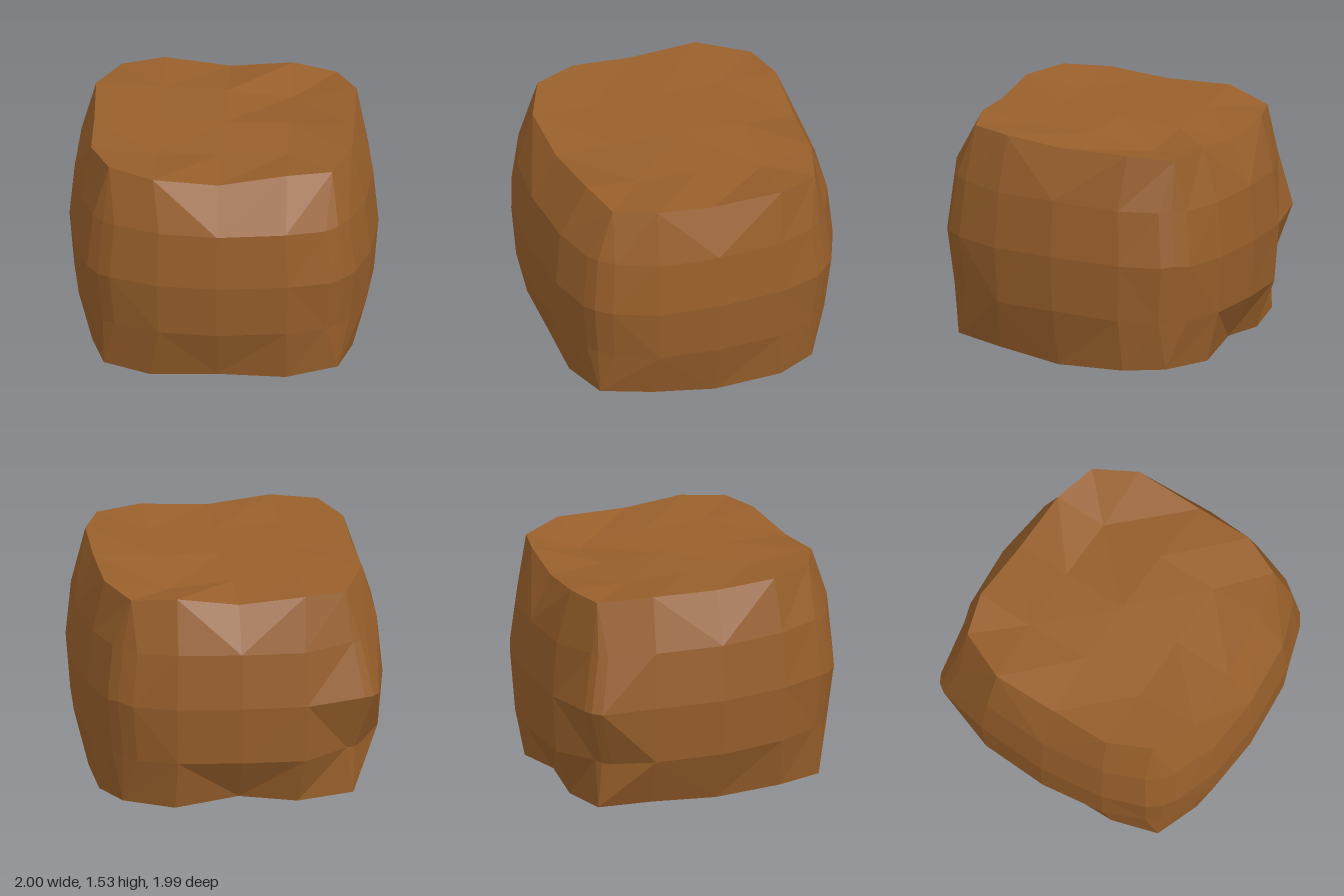
import * as THREE from 'three';

// Outlines run counterclockwise seen from above, starting at the middle of the front.
// Widest outline as [x, z]: three points per side and three per corner
const MIDDLE = [
  [0, 0.99], [0.46, 0.945], [0.73, 0.85], [0.81, 0.8], [0.88, 0.7], [0.965, 0.41],
  [0.995, 0], [0.935, -0.45], [0.84, -0.71], [0.78, -0.78], [0.69, -0.85], [0.42, -0.95],
  [0, -1], [-0.43, -0.975], [-0.81, -0.9], [-0.87, -0.87], [-0.91, -0.81], [-0.98, -0.47],
  [-1, 0], [-0.945, 0.44], [-0.85, 0.72], [-0.78, 0.8], [-0.7, 0.86], [-0.39, 0.965],
];
// Top and bottom edges as [x, y, z]: three points per side and one per corner
const RIM = [
  [0, 1.48, 0.79], [0.44, 1.53, 0.73], [0.73, 1.52, 0.65], [0.84, 1.52, 0.38],
  [0.84, 1.48, 0], [0.83, 1.48, -0.47], [0.69, 1.44, -0.74], [0.4, 1.46, -0.81],
  [0, 1.41, -0.83], [-0.43, 1.45, -0.85], [-0.7, 1.44, -0.77], [-0.85, 1.49, -0.44],
  [-0.84, 1.48, 0], [-0.84, 1.51, 0.4], [-0.71, 1.53, 0.68], [-0.42, 1.52, 0.81],
];
const FOOT = [
  [0, 0.1, 0.85], [0.44, 0.09, 0.85], [0.77, 0.12, 0.75], [0.85, 0.09, 0.42],
  [0.87, 0.03, 0], [0.86, 0.04, -0.45], [0.74, 0.045, -0.7], [0.42, 0.035, -0.85],
  [0, 0.08, -0.81], [-0.38, 0.04, -0.84], [-0.75, 0.06, -0.78], [-0.82, 0.08, -0.44],
  [-0.83, 0.06, 0], [-0.83, 0.09, 0.44], [-0.74, 0.1, 0.74], [-0.44, 0.08, 0.84],
];
// Inner points of the caps: one per side middle and one per corner
const TOP = [
  [0, 1.475, 0.39], [0.43, 1.485, 0.38], [0.43, 1.47, -0.03], [0.42, 1.4, -0.47],
  [0, 1.44, -0.47], [-0.43, 1.455, -0.47], [-0.42, 1.47, -0.04], [-0.43, 1.475, 0.4],
];
const BASE = [
  [0, 0.05, 0.42], [0.42, 0.06, 0.42], [0.43, 0.025, 0], [0.42, 0.03, -0.42],
  [0, 0.01, -0.42], [-0.42, 0.03, -0.42], [-0.42, 0.025, 0], [-0.42, 0.06, 0.42],
];
const N = MIDDLE.length;
const isCorner = (i) => i % 6 >= 2 && i % 6 <= 4;
const isBackLumpCorner = (i) => i >= 14 && i <= 16;

// Ring made from the widest outline: scaled, tilted, corners drawn in
function ring(y, tilt, scale, corner, lump, rough) {
  return MIDDLE.map(([x, z], i) => {
    const s = scale * (isBackLumpCorner(i) ? lump : isCorner(i) ? corner : 1);
    return new THREE.Vector3(x * s, y + tilt * z + rough * Math.sin(i * 2.3), z * s);
  });
}

// Spread a shorter outline over the full count, sharing points as the pattern says
function spread(points, pattern) {
  const vectors = points.map((p) => new THREE.Vector3(...p));
  const perSide = points.length / 4;
  return MIDDLE.map((_, i) => vectors[(Math.floor(i / 6) * perSide + pattern[i % 6]) % points.length]);
}

function buildLump() {
  const edge = [0, 1, 2, 2, 2, 3];
  const inner = [0, 1, 1, 1, 1, 1];
  const rings = [
    spread(BASE, inner),
    spread(FOOT, edge),
    ring(0.405, 0.045, 0.97, 0.985, 0.9, 0.01),
    ring(0.78, 0.035, 1, 1, 1, 0.008),
    ring(1.145, 0.04, 0.965, 0.99, 0.95, 0.01),
    spread(RIM, edge),
    spread(TOP, inner),
  ];

  const positions = [];
  // Shared points leave some faces without area, which are skipped
  const face = (a, b, c) => {
    if (a === b || b === c || c === a) return;
    for (const p of [a, b, c]) positions.push(p.x, p.y, p.z);
  };
  const bottomCentre = new THREE.Vector3(0, 0, 0);
  const topCentre = new THREE.Vector3(0, 1.465, -0.04);
  for (let i = 0; i < N; i++) {
    const j = (i + 1) % N;
    // Walls and outer parts of both caps
    for (let r = 0; r + 1 < rings.length; r++) {
      const a = rings[r][i], b = rings[r][j], c = rings[r + 1][i], d = rings[r + 1][j];
      if ((i + r) % 3) { face(a, b, d); face(a, d, c); }
      else { face(a, b, c); face(b, d, c); }
    }
    // Centres of the caps
    face(rings[0][j], rings[0][i], bottomCentre);
    face(rings[rings.length - 1][i], rings[rings.length - 1][j], topCentre);
  }

  const geometry = new THREE.BufferGeometry();
  geometry.setAttribute('position', new THREE.Float32BufferAttribute(positions, 3));
  geometry.computeVertexNormals();
  return geometry;
}

export function createModel() {
  const brown = new THREE.MeshStandardMaterial({ color: 0x985f2b, flatShading: true });
  brown.name = 'earthBrown';
  const lump = new THREE.Mesh(buildLump(), brown);
  lump.name = 'roughBlock';
  const model = new THREE.Group();
  model.name = 'roughBlockModel';
  model.add(lump);
  return model;
}
